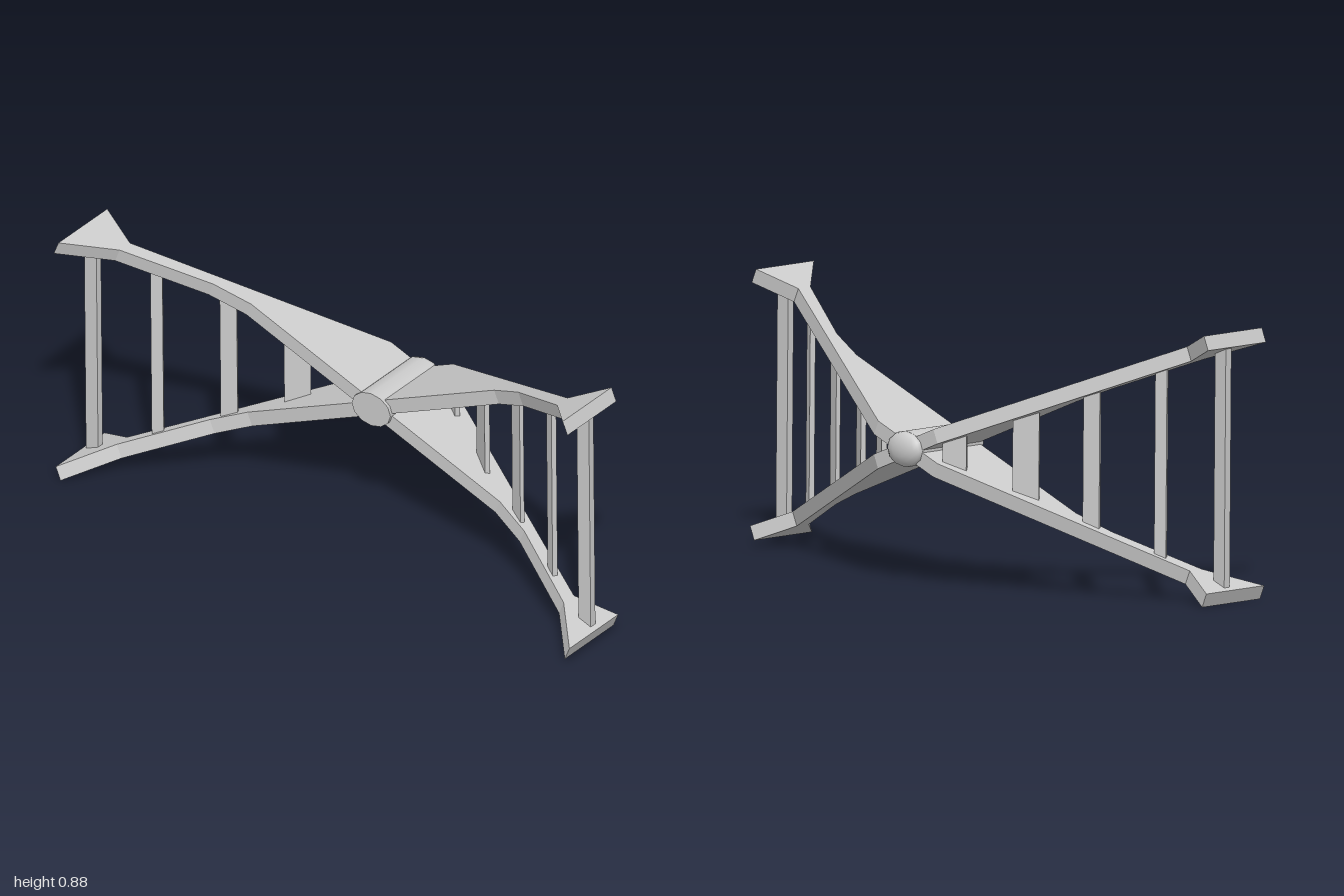
import * as THREE from 'three';

const grey = new THREE.MeshStandardMaterial({ color: 0xcccccc });
const TILT = Math.PI / 8;

function add(parent, name, geometry) {
  const mesh = new THREE.Mesh(geometry, grey);
  mesh.name = name;
  parent.add(mesh);
  return mesh;
}

// Swept flat blade running from tip to tip, outlined in plan (span, depth)
function bladeGeometry(thickness) {
  const half = [
    [0.14, -0.28], [0.928, 0.11], [1.068, 0.052], [1.068, 0.314],
    [0.928, 0.165], [0.65, 0.02], [0.52, -0.016],
  ];
  const mirrored = half.map(([x, z]) => [-x, z]).reverse();
  const shape = new THREE.Shape([...half, ...mirrored].map(([x, z]) => new THREE.Vector2(x, z)));
  const geometry = new THREE.ExtrudeGeometry(shape, { depth: thickness, bevelEnabled: false });
  geometry.translate(0, 0, -thickness / 2);
  geometry.rotateX(Math.PI / 2);
  return geometry;
}

export function createModel() {
  const model = new THREE.Group();
  model.name = 'crossedWings';
  const frame = new THREE.Group();
  frame.name = 'frame';
  frame.position.y = 0.44;
  frame.rotation.z = 0.0096; // slight roll
  model.add(frame);

  // Two blades crossing in an X
  const blade = bladeGeometry(0.048);
  add(frame, 'risingBlade', blade).rotation.z = TILT;
  add(frame, 'fallingBlade', blade).rotation.z = -TILT;

  // Upright struts between the blades: x, z, length, thickness, sweep angle
  const struts = [
    [0.955, 0.163, 0.047, 0.025, 0],
    [0.765, 0.083, 0.038, 0.017, 0.52],
    [0.56, -0.018, 0.054, 0.014, 0.46],
    [0.36, -0.108, 0.084, 0.017, 0.63],
    [0.16, -0.223, 0.076, 0.017, 0.58],
  ];
  for (const side of [-1, 1]) {
    for (const [x, z, length, thickness, sweep] of struts) {
      const height = 2 * x * Math.tan(TILT);
      const strut = add(frame, side > 0 ? 'leftStrut' : 'rightStrut',
        new THREE.BoxGeometry(length, height, thickness));
      strut.position.set(side * x, 0, z);
      strut.rotation.y = -side * sweep;
    }
  }

  // Oval hub with a flat front and a shallow dome behind
  const hub = new THREE.Group();
  hub.name = 'hub';
  hub.scale.set(0.075, 0.058, 1);
  frame.add(hub);
  const barrel = new THREE.CylinderGeometry(1, 1, 0.275, 12);
  barrel.rotateX(Math.PI / 2);
  add(hub, 'hubBarrel', barrel).position.z = -0.1425;
  const dome = new THREE.SphereGeometry(1, 12, 4, 0, Math.PI * 2, 0, Math.PI / 2);
  dome.rotateX(-Math.PI / 2);
  dome.scale(1, 1, 0.036);
  add(hub, 'hubDome', dome).position.z = -0.278;

  return model;
}
